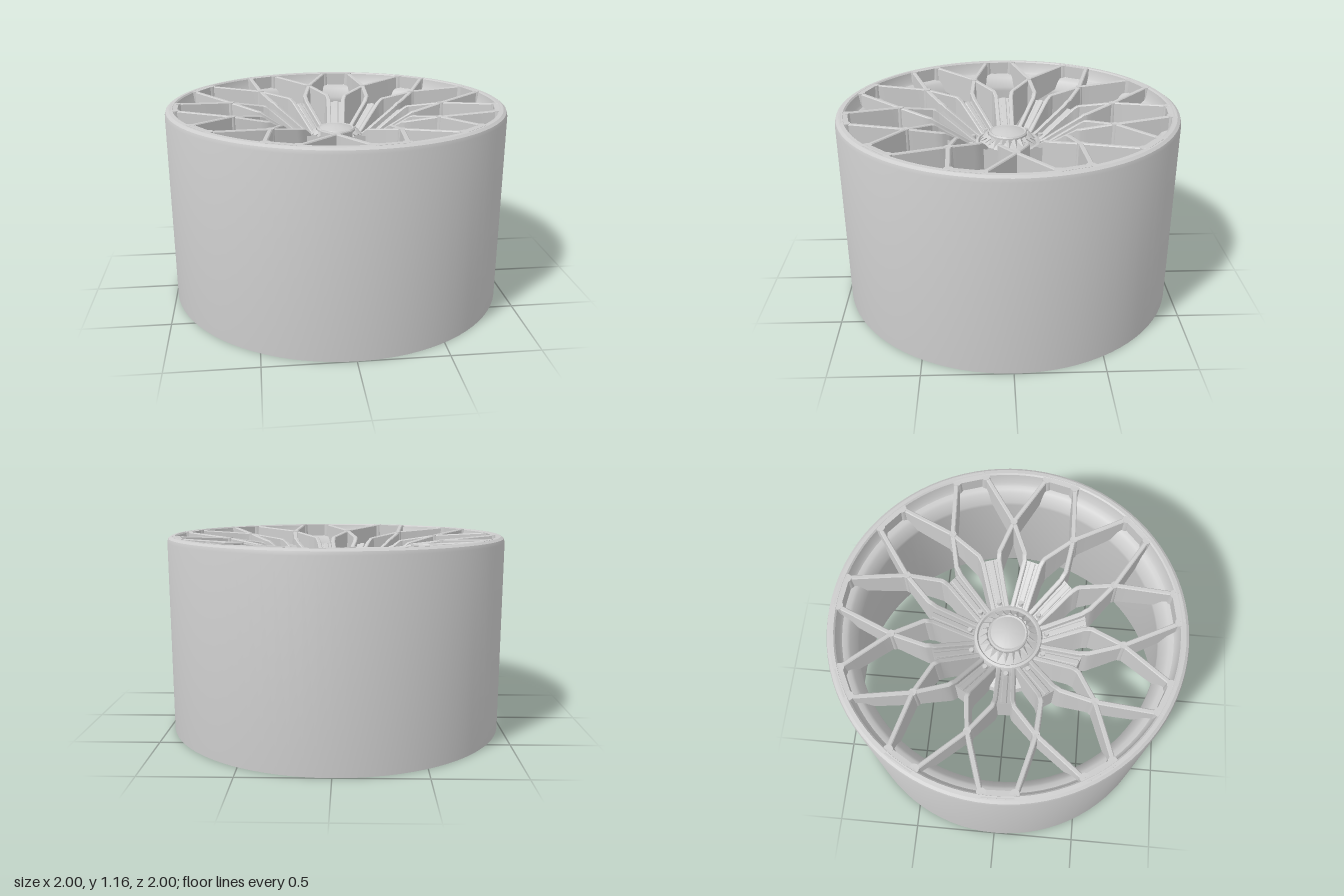
import * as THREE from 'three';
import { toCreasedNormals } from 'three/addons/utils/BufferGeometryUtils.js';

const SPOKES = 11;
const STEP = (Math.PI * 2) / SPOKES;
const FIRST = THREE.MathUtils.degToRad(18.4);

const material = new THREE.MeshStandardMaterial({ color: 0xcccccc, roughness: 0.6 });

// Height of the spoke face and of the spoke back at each radius
const FACE = [[0.15, 0.91], [0.2, 0.93], [0.3, 1.0], [0.45, 1.1], [0.65, 1.135], [0.97, 1.158]];
const BACK = [[0.15, 0.7], [0.3, 0.74], [0.45, 0.84], [0.62, 0.95], [0.85, 1.0], [0.97, 1.04]];

function heightAt(table, r) {
  for (let i = 1; i < table.length; i++) {
    const [r0, y0] = table[i - 1], [r1, y1] = table[i];
    if (r <= r1) return y0 + (y1 - y0) * Math.max(0, (r - r0) / (r1 - r0));
  }
  return table[table.length - 1][1];
}

const polar = (r, a) => new THREE.Vector2(r * Math.cos(a), r * Math.sin(a));

function mesh(name, geometry, crease = 0.5) {
  const m = new THREE.Mesh(toCreasedNormals(geometry, crease), material);
  m.name = name;
  return m;
}

function lathe(name, points, segments) {
  return mesh(name, new THREE.LatheGeometry(points.map(p => new THREE.Vector2(...p)), segments));
}

// Deep bar following a plan path; its face and back follow the height tables
function bar(name, corners, topWidth, backWidth, drop = 0) {
  const path = [];
  corners.forEach((c, i) => {
    if (i === 0) return path.push(c);
    for (let k = 1; k <= 5; k++) path.push(corners[i - 1].clone().lerp(c, k / 5));
  });
  const pos = [], index = [], bevel = 0.005;
  path.forEach((p, i) => {
    const before = path[Math.max(0, i - 1)], after = path[Math.min(path.length - 1, i + 1)];
    const d = after.clone().sub(before).normalize();
    const r = p.length(), top = heightAt(FACE, r) - drop, back = heightAt(BACK, r);
    const section = [
      [-topWidth / 2 + bevel, top], [topWidth / 2 - bevel, top], [topWidth / 2, top - bevel],
      [backWidth / 2, back], [-backWidth / 2, back], [-topWidth / 2, top - bevel],
    ];
    for (const [s, y] of section) pos.push(p.x - d.y * s, y, -(p.y + d.x * s));
  });
  const n = 6, last = (path.length - 1) * n;
  for (let i = 0; i < path.length - 1; i++) {
    for (let j = 0; j < n; j++) {
      const a = i * n + j, b = i * n + ((j + 1) % n);
      index.push(a, a + n, b, b, a + n, b + n);
    }
  }
  for (let j = 1; j < n - 1; j++) {
    index.push(0, j, j + 1, last, last + j + 1, last + j);
  }
  const g = new THREE.BufferGeometry();
  g.setAttribute('position', new THREE.Float32BufferAttribute(pos, 3));
  g.setIndex(index);
  return mesh(name, g);
}

// Round post filling the corners where rails meet something
function post(name, p, topRadius, backRadius) {
  const top = heightAt(FACE, p.length()), back = heightAt(BACK, p.length());
  const m = mesh(name, new THREE.CylinderGeometry(topRadius, backRadius, top - back, 16));
  m.position.set(p.x, (top + back) / 2, -p.y);
  return m;
}

function makeSpoke() {
  const spoke = new THREE.Group();
  spoke.name = 'spoke';
  // Two rails leave the hub side by side, cross the neighbours and reach the rim
  for (const s of [1, -1]) {
    const foot = polar(0.955, s * (STEP / 2 + 0.195));
    spoke.add(bar(s > 0 ? 'leftRail' : 'rightRail', [
      new THREE.Vector2(0.17, s * 0.04),
      new THREE.Vector2(0.42, s * 0.047),
      new THREE.Vector2(0.465, s * 0.06),
      polar(0.645, s * STEP / 2),
      foot,
    ], 0.026, 0.036));
    spoke.add(post('railFoot', foot.clone().multiplyScalar(0.988), 0.026, 0.032));
  }
  spoke.add(post('crossingBoss', polar(0.645, STEP / 2), 0.021, 0.028));
  // Sunken stem floor with a raised middle rib
  const inner = new THREE.Vector2(0.17, 0);
  spoke.add(bar('stemFloor', [inner, new THREE.Vector2(0.44, 0)], 0.085, 0.085, 0.035));
  spoke.add(bar('stemRib', [inner, new THREE.Vector2(0.435, 0)], 0.034, 0.04, 0.025));
  // Pad joining neighbouring rail ends at the rim
  spoke.add(bar('rimPad', [new THREE.Vector2(0.925, 0), new THREE.Vector2(0.968, 0)], 0.18, 0.18));
  // Bolt at the root of the stem
  const bolt = mesh('bolt', new THREE.CylinderGeometry(0.013, 0.016, 0.04, 12));
  bolt.position.set(0.225, 0.925, 0);
  spoke.add(bolt);
  return spoke;
}

function makeHub() {
  const hub = new THREE.Group();
  hub.name = 'hub';
  // Hollow bore, mounting flange and sloping collar
  hub.add(lathe('hubBody', [
    [0, 0.85], [0.125, 0.85], [0.128, 0.58], [0.134, 0.57], [0.145, 0.585], [0.15, 0.7],
    [0.26, 0.73], [0.28, 0.745], [0.27, 0.78], [0.21, 0.8], [0.2, 0.92], [0.192, 0.94],
    [0.178, 0.945], [0.17, 0.93], [0.12, 0.97], [0, 0.97],
  ], 64));
  hub.add(lathe('centreCap', [
    [0.116, 0.95], [0.114, 0.995], [0.107, 1.003], [0.098, 1.0], [0.07, 1.01], [0.035, 1.017], [0, 1.02],
  ], 48));
  // Ring of pointed teeth around the cap
  const tooth = new THREE.ConeGeometry(0.018, 0.065, 4).rotateZ(-Math.PI / 2 - 0.6);
  for (let i = 0; i < 22; i++) {
    const t = mesh('capTooth', tooth, 0.1);
    const a = (i / 22) * Math.PI * 2;
    t.position.set(Math.cos(a) * 0.142, 0.963, -Math.sin(a) * 0.142);
    t.rotation.y = a;
    hub.add(t);
  }
  return hub;
}

export function createModel() {
  const wheel = new THREE.Group();
  wheel.name = 'wheel';

  // Outer wall, rounded lip, stepped flare and tapering inner wall
  wheel.add(lathe('rim', [
    [0.999, 0], [1, 0], [1, 1.125], [0.994, 1.145], [0.978, 1.156], [0.956, 1.158],
    [0.948, 1.15], [0.937, 1.09], [0.925, 1.075], [0.9, 1.068], [0.885, 1.055],
    [0.852, 1.0], [0.85, 0.975], [0.999, 0],
  ], 88));

  for (let i = 0; i < SPOKES; i++) {
    const spoke = makeSpoke();
    spoke.rotation.y = FIRST + i * STEP;
    wheel.add(spoke);
  }
  wheel.add(makeHub());
  return wheel;
}
